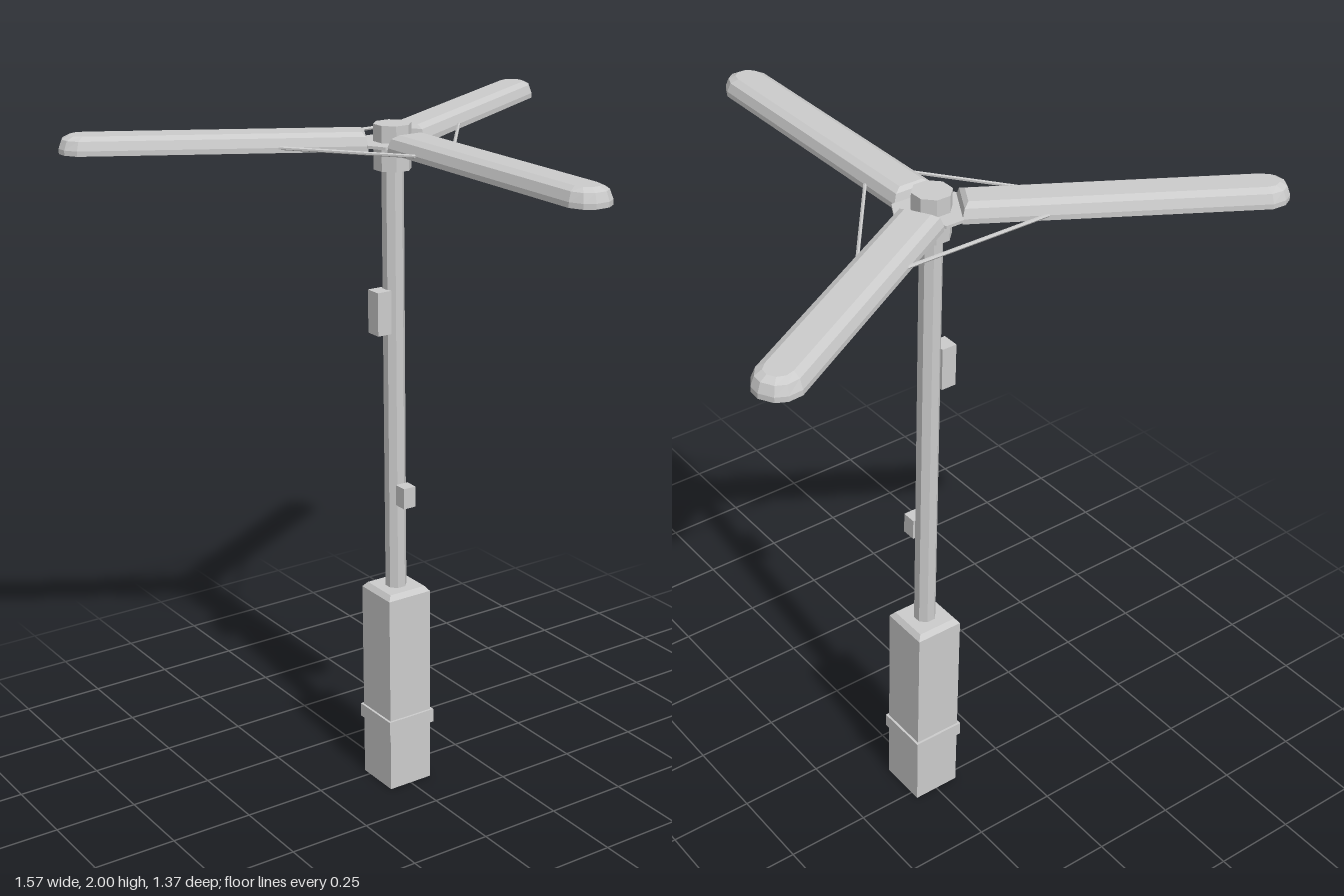
import * as THREE from 'three';

const POLE_Z = -0.206;
const material = new THREE.MeshStandardMaterial({ color: 0xcccccc, flatShading: true, side: THREE.DoubleSide });

function part(parent, name, geometry, x = 0, y = 0, z = 0) {
  const mesh = new THREE.Mesh(geometry, material);
  mesh.name = name;
  mesh.position.set(x, y, z);
  parent.add(mesh);
  return mesh;
}

// Octagonal or square prism with its flats facing the axes; r is half the width across flats
function prism(r, height, sides, topR = r, open = false) {
  const k = 1 / Math.cos(Math.PI / sides);
  return new THREE.CylinderGeometry(topR * k, r * k, height, sides, 1, open).rotateY(Math.PI / sides);
}

// Plan outline of a lamp shade running along +z, shrunk by an inset
function shadeRing(y, i) {
  const half = [
    [0.02 - 0.3 * i, 0.895 - i], [0.046 - 0.6 * i, 0.878 - 0.9 * i],
    [0.063 - i, 0.843 - 0.5 * i], [0.063 - i, 0.069 + 0.6 * i],
  ];
  const mirrored = half.map(([x, z]) => [-x, z]).reverse();
  return [...half, ...mirrored].map(([x, z]) => [x, y, z]);
}

// Hollow shade: recessed ceiling, down the inner wall, round the rim and over the top
function shadeGeometry() {
  const rings = [
    [1.966, 0.03], [1.936, 0.008], [1.936, 0], [1.95, 0], [1.974, 0.009], [1.984, 0.028],
  ].map(([y, i]) => shadeRing(y, i));
  const n = rings[0].length;
  const pos = [];
  const tri = (a, b, c) => pos.push(...a, ...b, ...c);
  for (let r = 0; r < rings.length - 1; r++) {
    const a = rings[r], b = rings[r + 1];
    for (let j = 0; j < n; j++) {
      const k = (j + 1) % n;
      tri(a[j], a[k], b[k]);
      tri(a[j], b[k], b[j]);
    }
  }
  const ceiling = rings[0], top = rings[rings.length - 1];
  for (let j = 1; j < n - 1; j++) {
    tri(ceiling[0], ceiling[j + 1], ceiling[j]);
    tri(top[0], top[j], top[j + 1]);
  }
  const g = new THREE.BufferGeometry();
  g.setAttribute('position', new THREE.Float32BufferAttribute(pos, 3));
  g.computeVertexNormals();
  return g;
}

// Thin rod between two plan points
function rod(parent, name, [x1, z1], [x2, z2]) {
  const y = 1.949;
  const path = new THREE.LineCurve3(new THREE.Vector3(x1, y, z1), new THREE.Vector3(x2, y, z2));
  part(parent, name, new THREE.TubeGeometry(path, 1, 0.005, 6));
}

export function createModel() {
  const model = new THREE.Group();
  model.name = 'streetLamp';

  // Square pedestal, open below, with a bevelled top and a band
  const base = new THREE.Group();
  base.name = 'pedestal';
  base.position.z = POLE_Z;
  model.add(base);
  part(base, 'pedestalBody', prism(0.072, 0.62, 4, 0.072, true), 0, 0.31, 0);
  part(base, 'pedestalBevel', prism(0.072, 0.015, 4, 0.06, true), 0, 0.6275, 0);
  part(base, 'pedestalTop', new THREE.PlaneGeometry(0.12, 0.12).rotateX(-Math.PI / 2), 0, 0.635, 0);
  const wall = 0.0075;
  for (let i = 0; i < 4; i++) {
    const g = new THREE.BoxGeometry(0.158, 0.042, wall).translate(0, 0, 0.079 - wall / 2);
    part(base, 'pedestalBand', g, 0, 0.209, 0).rotation.y = i * Math.PI / 2;
  }

  // Pole and hub
  part(model, 'pole', prism(0.029, 1.27, 8), 0, 1.265, POLE_Z);
  part(model, 'hub', prism(0.049, 0.125, 8), 0, 1.9375, POLE_Z);

  // Small boxes fixed to the pole
  part(model, 'controlBox', new THREE.BoxGeometry(0.045, 0.125, 0.05), -0.047, 1.477, POLE_Z);
  part(model, 'sensorBox', new THREE.BoxGeometry(0.04, 0.062, 0.042), 0, 0.932, -0.152);

  // Mounting plate with one long edge towards each shade
  const plate = new THREE.Shape();
  for (let i = 0; i < 3; i++) {
    for (const side of [-1, 1]) {
      const a = i * Math.PI * 2 / 3 + side * 0.78;
      const p = [Math.sin(a) * 0.1, -Math.cos(a) * 0.1];
      if (i === 0 && side < 0) plate.moveTo(...p);
      else plate.lineTo(...p);
    }
  }
  const plateGeometry = new THREE.ExtrudeGeometry(plate, { depth: 0.008, bevelEnabled: false });
  part(model, 'mountingPlate', plateGeometry.rotateX(-Math.PI / 2), 0, 1.945, POLE_Z);

  // Three lamp shades around the pole
  const shade = shadeGeometry();
  for (let i = 0; i < 3; i++) {
    part(model, 'lampShade', shade, 0, 0, POLE_Z).rotation.y = i * Math.PI * 2 / 3;
  }

  // Stay rods between neighbouring shades
  rod(model, 'rearStay', [-0.23, -0.398], [0.23, -0.398]);
  for (const s of [-1, 1]) rod(model, 'sideStay', [s * 0.05, 0.005], [s * 0.305, -0.32]);

  return model;
}
